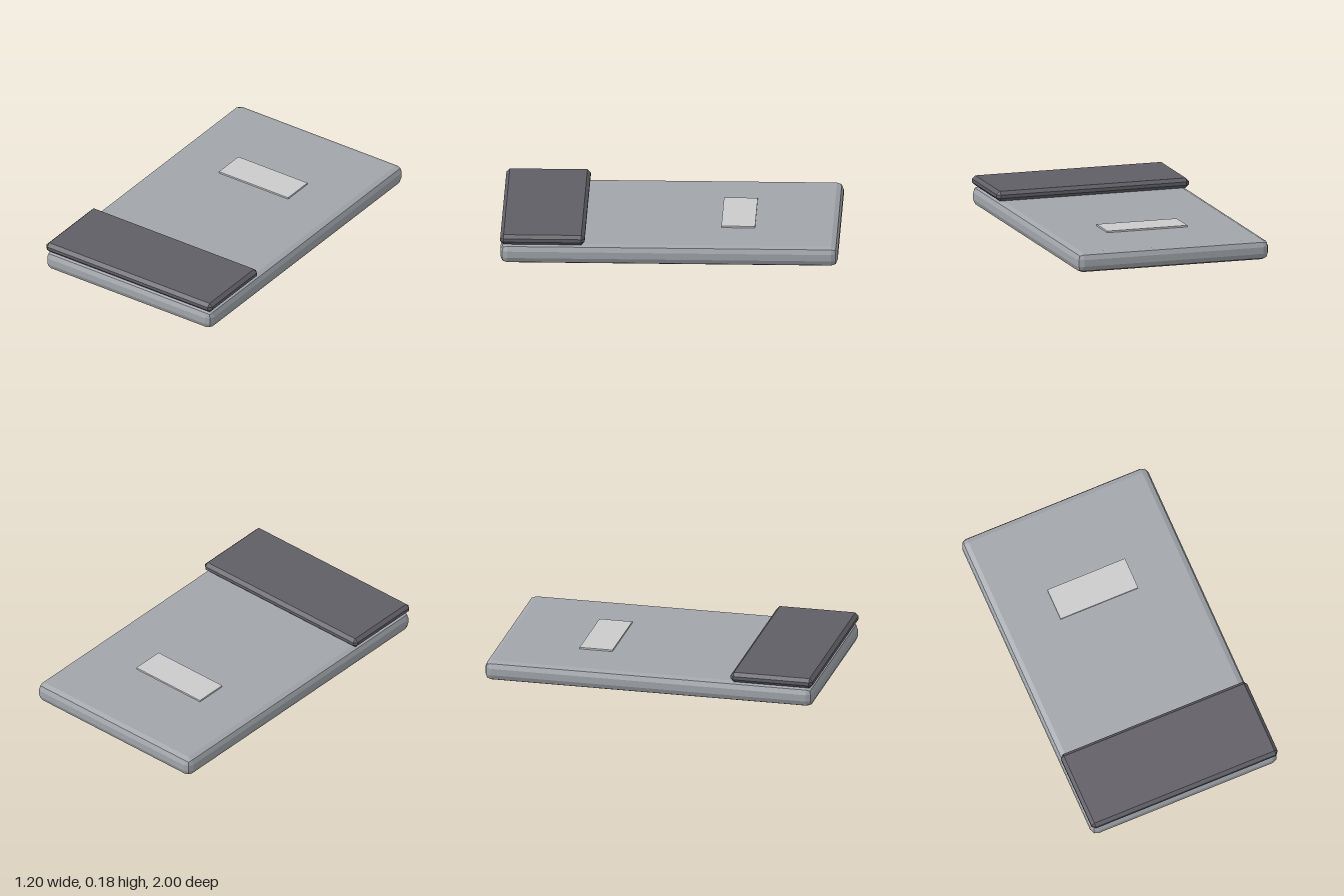
import * as THREE from 'three';
import { ConvexGeometry } from 'three/addons/geometries/ConvexGeometry.js';

// Box with bevelled edges: the hull of eight corner patches.
// round = false gives one flat chamfer, true gives a two-step rounding.
function bevelBox(w, h, d, r, round) {
  const dirs = [[1, 0, 0], [0, 1, 0], [0, 0, 1]];
  if (round) dirs.push([1, 1, 0], [1, 0, 1], [0, 1, 1], [1, 1, 1]);
  const inner = new THREE.Vector3(w / 2 - r, h / 2 - r, d / 2 - r);
  const points = [];
  for (const sx of [-1, 1]) for (const sy of [-1, 1]) for (const sz of [-1, 1]) {
    const sign = new THREE.Vector3(sx, sy, sz);
    for (const dir of dirs) {
      const p = new THREE.Vector3(...dir).normalize().multiplyScalar(r);
      points.push(p.add(inner).multiply(sign));
    }
  }
  return new ConvexGeometry(points);
}

function part(name, geometry, color, x, y, z) {
  const material = new THREE.MeshStandardMaterial({ color, flatShading: true });
  const mesh = new THREE.Mesh(geometry, material);
  mesh.name = name;
  mesh.position.set(x, y, z);
  return mesh;
}

export function createModel() {
  const group = new THREE.Group();
  group.name = 'flatCase';
  // Main slab with rounded edges
  group.add(part('body', bevelBox(1.2, 0.12, 2, 0.04, true), 0xa2a6ab, 0, 0.06, 0));
  // Dark chamfered plate resting on the front end
  group.add(part('frontPlate', bevelBox(1.2, 0.06, 0.5, 0.02, false), 0x615f66, 0, 0.15, 0.75));
  // Thin raised label towards the back
  group.add(part('labelPlate', new THREE.BoxGeometry(0.5, 0.01, 0.2), 0xcccccc, 0, 0.125, -0.4));
  return group;
}
